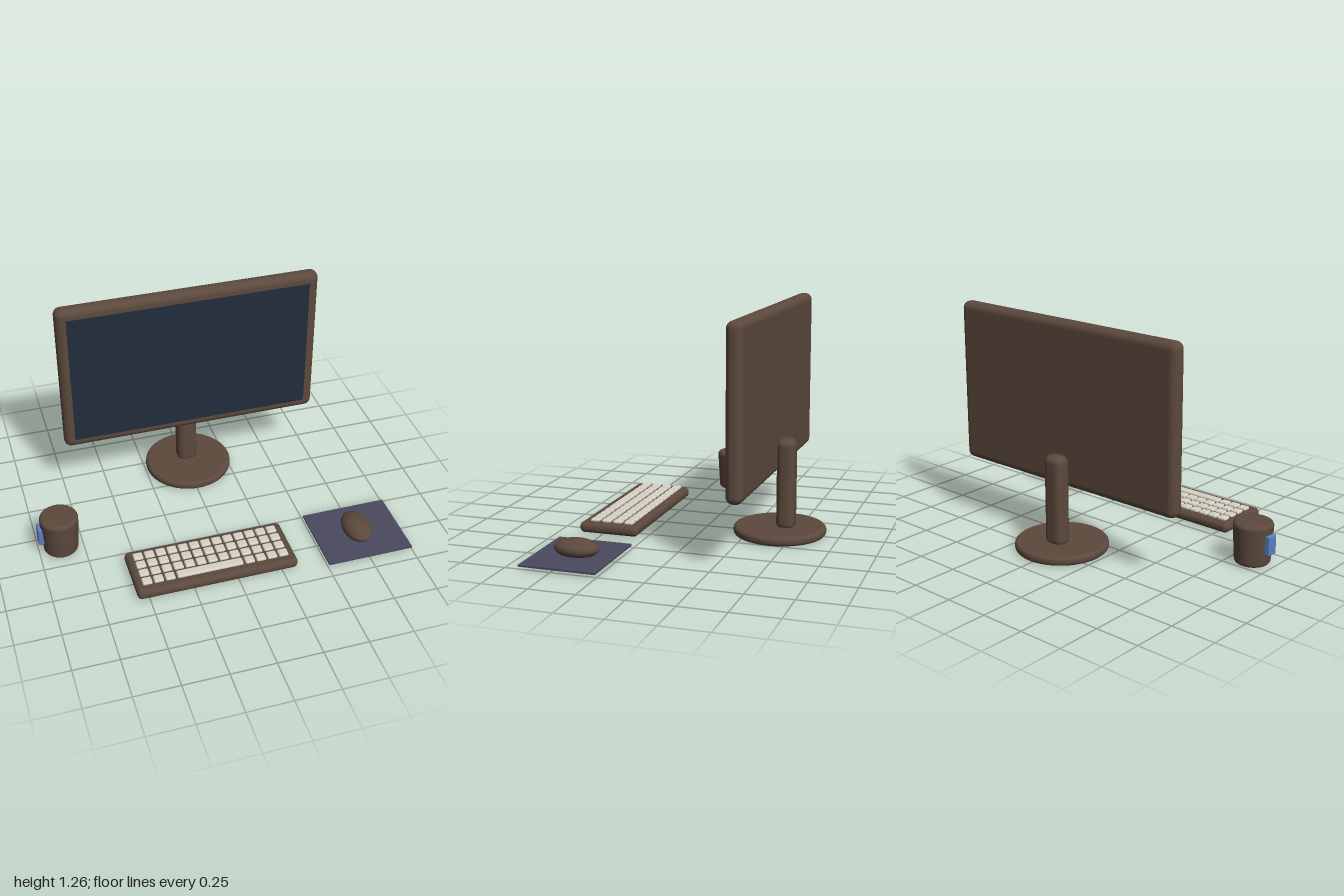
import * as THREE from 'three';
import { RoundedBoxGeometry } from 'three/addons/geometries/RoundedBoxGeometry.js';

const flat = (name, color) => {
  const m = new THREE.MeshStandardMaterial({ color });
  m.name = name;
  return m;
};

// Solid of revolution with rounded top and bottom rims, standing on y = 0
function roundedDrum(rBottom, rTop, height, corner) {
  const pts = [new THREE.Vector2(0, 0)];
  const steps = 5;
  for (let i = 0; i <= steps; i++) {
    const a = -Math.PI / 2 + (i / steps) * Math.PI / 2;
    pts.push(new THREE.Vector2(rBottom - corner + corner * Math.cos(a), corner + corner * Math.sin(a)));
  }
  for (let i = 0; i <= steps; i++) {
    const a = (i / steps) * Math.PI / 2;
    pts.push(new THREE.Vector2(rTop - corner + corner * Math.cos(a), height - corner + corner * Math.sin(a)));
  }
  pts.push(new THREE.Vector2(0, height));
  return new THREE.LatheGeometry(pts, 48);
}

export function createModel() {
  const model = new THREE.Group();
  model.name = 'deskSetup';

  const brown = flat('brownPlastic', 0x5c493d);
  const glass = flat('screenGlass', 0x212e3c);
  const ivory = flat('keyIvory', 0xd8d3c6);
  const slate = flat('matSlate', 0x4b495e);
  const blue = flat('handleBlue', 0x5b80c2);

  const add = (parent, name, geometry, material, x, y, z) => {
    const mesh = new THREE.Mesh(geometry, material);
    mesh.name = name;
    mesh.position.set(x, y, z);
    parent.add(mesh);
    return mesh;
  };
  const group = (name) => {
    const g = new THREE.Group();
    g.name = name;
    model.add(g);
    return g;
  };

  // Monitor on a round foot
  const monitor = group('monitor');
  add(monitor, 'housing', new RoundedBoxGeometry(1.5, 0.907, 0.09, 5, 0.04), brown, 0.012, 0.8035, -0.371);
  add(monitor, 'screen', new THREE.BoxGeometry(1.384, 0.792, 0.008), glass, 0.012, 0.802, -0.326);
  add(monitor, 'neck', new RoundedBoxGeometry(0.12, 0.51, 0.1, 5, 0.04), brown, 0.012, 0.285, -0.457);
  add(monitor, 'foot', roundedDrum(0.255, 0.255, 0.05, 0.02), brown, 0.012, 0, -0.422);

  // Keyboard: four rows of thirteen, with a space bar spanning six columns
  const keyboard = group('keyboard');
  add(keyboard, 'keyboardBody', new RoundedBoxGeometry(0.905, 0.06, 0.34, 5, 0.027), brown, -0.111, 0.03, 0.466);
  const pitchX = 0.0642, pitchZ = 0.0657, firstX = -0.497, firstZ = 0.361;
  const keyGeometry = new RoundedBoxGeometry(0.054, 0.024, 0.05, 2, 0.008);
  for (let row = 0; row < 4; row++) {
    for (let col = 0; col < 13; col++) {
      if (row === 3 && col >= 3 && col <= 8) continue;
      add(keyboard, 'key', keyGeometry, ivory, firstX + col * pitchX, 0.061, firstZ + row * pitchZ);
    }
  }
  add(keyboard, 'spaceBar', new RoundedBoxGeometry(0.372, 0.024, 0.05, 2, 0.008), ivory,
    firstX + 5.5 * pitchX, 0.061, firstZ + 3 * pitchZ);

  // Mouse resting on its mat
  const pointer = group('mouseAndMat');
  add(pointer, 'mat', new THREE.BoxGeometry(0.494, 0.01, 0.418), slate, 0.753, 0.017, 0.468);
  const mouse = add(pointer, 'mouse', new THREE.SphereGeometry(1, 36, 24), brown, 0.75, 0.055, 0.467);
  mouse.scale.set(0.082, 0.051, 0.122);

  // Closed mug with a block handle
  const mug = group('mug');
  add(mug, 'mugBody', roundedDrum(0.097, 0.108, 0.235, 0.022), brown, -0.875, 0, 0.097);
  add(mug, 'mugHandle', new RoundedBoxGeometry(0.05, 0.11, 0.066, 2, 0.008), blue, -0.975, 0.127, 0.097);

  return model;
}
